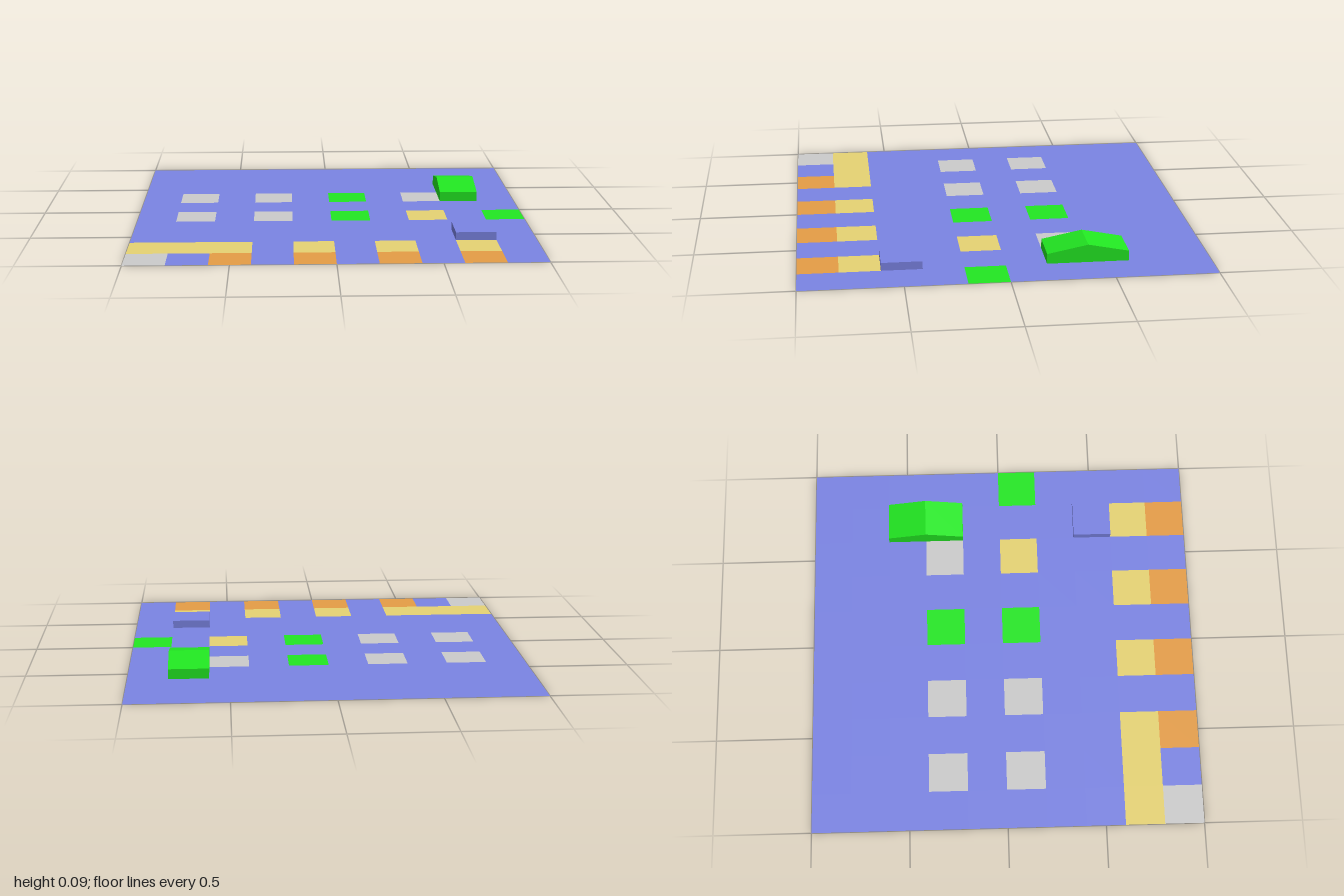
import * as THREE from 'three';
import { mergeGeometries } from 'three/addons/utils/BufferGeometryUtils.js';

const CELL = 0.2;
const COLORS = { b: 0x7b84e4, w: 0xcccccc, g: 0x22e822, s: 0xe6d373, o: 0xe59d46 };
const NAMES = { b: 'waterTiles', w: 'stoneTiles', g: 'grassTiles', s: 'sandTiles', o: 'clayTiles' };

// Floor plan, back row first; '.' is left to a raised block
const PLAN = [
  'bbbbbbbbbb',
  'bbbbbbbbbb',
  'bbbbbbbb.b',
  'bwbwbgbw.b',
  'bbbbbbbbbb',
  'bwbwbgbsbg',
  'bbbbbbbbbb',
  'bbbbbbbb.b',
  'sssbsbsbsb',
  'wbobobobob',
];

const material = (key) => new THREE.MeshStandardMaterial({
  color: COLORS[key], side: THREE.DoubleSide, flatShading: true,
});

// All floor tiles of one colour
function tiles(key) {
  const parts = [];
  PLAN.forEach((row, r) => [...row].forEach((c, i) => {
    if (c !== key) return;
    const tile = new THREE.PlaneGeometry(CELL, CELL).rotateX(-Math.PI / 2);
    parts.push(tile.translate(-0.9 + i * CELL, 0, -0.9 + r * CELL));
  }));
  const mesh = new THREE.Mesh(mergeGeometries(parts), material(key));
  mesh.name = NAMES[key];
  return mesh;
}

// Block one cell wide, from a (z, y) side profile
function block(name, key, profile, x) {
  const shape = new THREE.Shape(profile.map(([z, y]) => new THREE.Vector2(-z, y)));
  const geometry = new THREE.ExtrudeGeometry(shape, { depth: CELL, bevelEnabled: false });
  geometry.rotateY(Math.PI / 2).translate(x, 0, 0);
  const mesh = new THREE.Mesh(geometry, material(key));
  mesh.name = name;
  return mesh;
}

export function createModel() {
  const group = new THREE.Group();
  group.name = 'tiledGround';
  for (const key of Object.keys(COLORS)) group.add(tiles(key));

  // Gabled green block and low blue block
  group.add(block('ridgeBlock', 'g',
    [[-0.2, 0], [-0.6, 0], [-0.6, 0.05], [-0.4, 0.09], [-0.2, 0.05]], 0.6));
  group.add(block('lowBlock', 'b',
    [[0.6, 0], [0.4, 0], [0.4, 0.04], [0.6, 0.04]], 0.6));
  return group;
}
